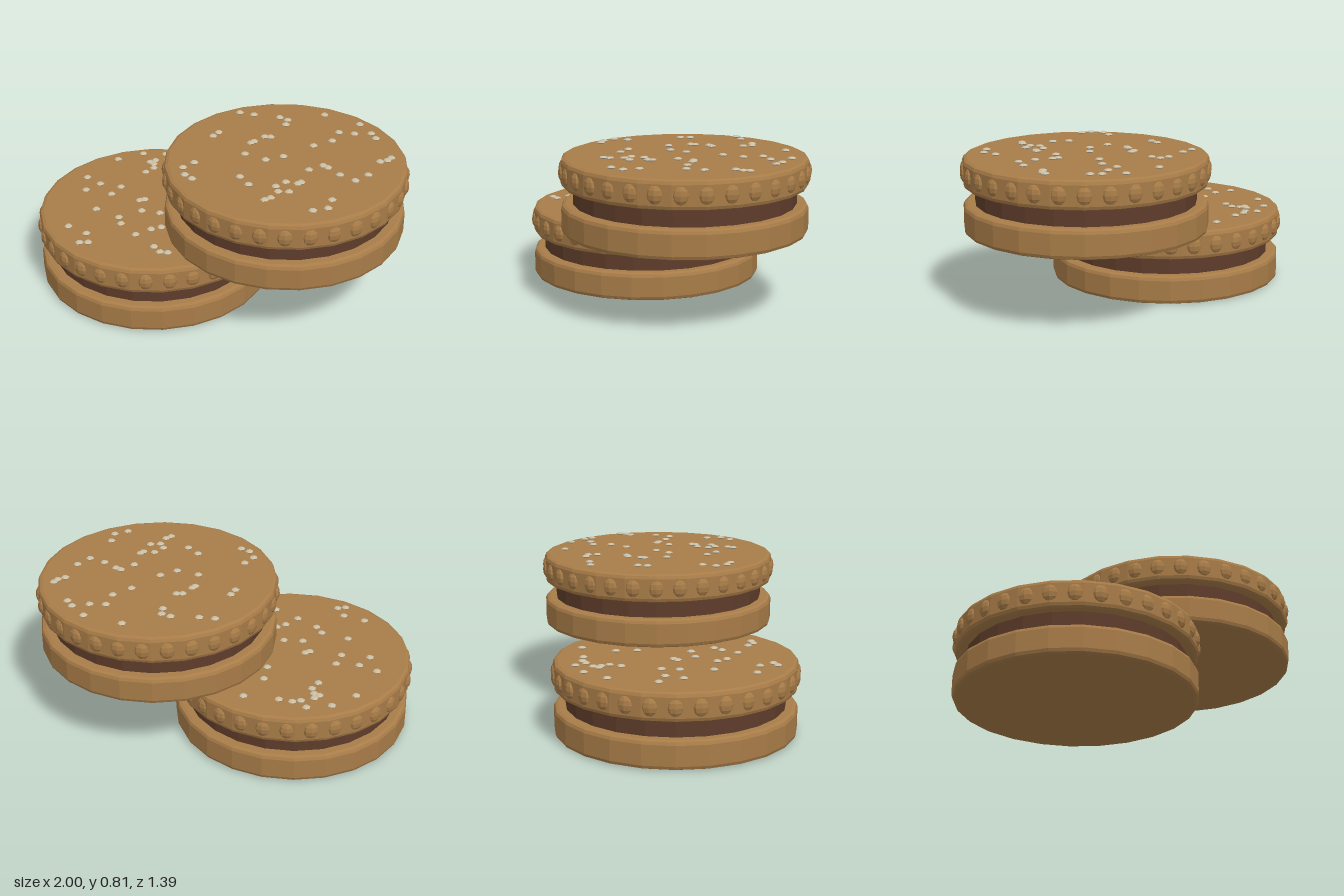
import * as THREE from 'three';

const SIDES = 24, WAFER_R = 0.63, FILLING_R = 0.57;
const waferMat = new THREE.MeshStandardMaterial({ color: 0xa87c48, flatShading: true });
const fillingMat = new THREE.MeshStandardMaterial({ color: 0x5e3c2a, flatShading: true });
const sugarMat = new THREE.MeshStandardMaterial({ color: 0xcabfa6, flatShading: true });

// Sugar grain positions as x, z pairs in hundredths
const lowerGrains = [
  -67, -40, -55, -45, -51, -40, -47, -42, -40, -42, -22, -44, -57, -36, -59, -33, -56, -32,
  -54, -28, -77, -28, -56, -22, -28, -26, -27, -15, -83, -3, -73, 0, -61, -2, -62, 7,
  -77, 9, -45, 6, -43, 4, -39, 15, -29, 13, -62, 24, -47, 26, -43, 31, -26, 29, -22, 25,
  -31, 37, -67, 45, -55, 47, -50, 54, -54, 56, -17, 43, -12, 46, -8, 45,
  -10, -30, -2, -10, 5, 20, 10, -5, 17, 10, -5, 5, 0, 30, -12, -18,
];
const upperGrains = [
  37, -57, 58, -55, 67, -48, 71, -44, 59, -44, 51, -42, 51, -32, 16, -44, 21, -43, 22, -38,
  2, -41, -6, -40, 44, -23, 85, -28, 84, -25, 81, -22, 80, -7, 76, 1, 67, -1, 56, -6,
  59, -5, 51, 1, 34, -6, 27, 1, 15, 0, 17, -21, 20, -22, 14, -14, 13, -12, -7, -15,
  -8, -10, -5, 19, -8, 26, -4, 32, 1, 34, 22, 22, 29, 27, 42, 23, 45, 27, 50, 25,
  45, 17, 52, 14, 51, 16, 44, 34, 42, 37, 67, 36, 73, 31, 72, 23,
];

// Disc with softly rounded rims
function waferGeometry(height) {
  const b = 0.022, profile = [new THREE.Vector2(0, 0)];
  for (const [cy, start] of [[b, -Math.PI / 2], [height - b, 0]]) {
    for (let i = 0; i <= 2; i++) {
      const a = start + i * Math.PI / 4;
      profile.push(new THREE.Vector2(WAFER_R - b + b * Math.cos(a), cy + b * Math.sin(a)));
    }
  }
  profile.push(new THREE.Vector2(0, height));
  return new THREE.LatheGeometry(profile, SIDES);
}

function addMesh(parent, name, geometry, material, x = 0, y = 0, z = 0) {
  const mesh = new THREE.Mesh(geometry, material);
  mesh.name = name;
  mesh.position.set(x, y, z);
  parent.add(mesh);
  return mesh;
}

function createBiscuit(name, cx, cy, cz, grains) {
  const biscuit = new THREE.Group();
  biscuit.name = name;
  biscuit.position.set(cx, cy, cz);

  addMesh(biscuit, 'bottomWafer', waferGeometry(0.15), waferMat);
  addMesh(biscuit, 'filling', new THREE.CylinderGeometry(FILLING_R, FILLING_R, 0.13, SIDES), fillingMat, 0, 0.195, 0);
  addMesh(biscuit, 'topWafer', waferGeometry(0.147), waferMat, 0, 0.24, 0);

  // Ring of studs round the top wafer
  const studs = new THREE.Group();
  studs.name = 'rimStuds';
  const studGeo = new THREE.SphereGeometry(1, 8, 6);
  for (let i = 0; i < 32; i++) {
    const a = i / 32 * Math.PI * 2;
    const stud = addMesh(studs, 'rimStud', studGeo, waferMat, Math.sin(a) * 0.618, 0.314, Math.cos(a) * 0.618);
    stud.rotation.y = a;
    stud.scale.set(0.042, 0.048, 0.025);
  }
  biscuit.add(studs);

  // Sugar grains scattered on top
  const sugar = new THREE.Group();
  sugar.name = 'sugarGrains';
  const grainGeo = new THREE.SphereGeometry(0.022, 6, 4);
  for (let i = 0; i < grains.length; i += 2) {
    const grain = addMesh(sugar, 'sugarGrain', grainGeo, sugarMat, grains[i] / 100 - cx, 0.398, grains[i + 1] / 100 - cz);
    grain.scale.y = 0.36;
    grain.rotation.y = Math.PI / 6;
  }
  biscuit.add(sugar);
  return biscuit;
}

export function createModel() {
  const model = new THREE.Group();
  model.name = 'biscuits';
  model.add(createBiscuit('lowerBiscuit', -0.357, 0, 0.05, lowerGrains));
  model.add(createBiscuit('upperBiscuit', 0.357, 0.408, -0.05, upperGrains));
  return model;
}
